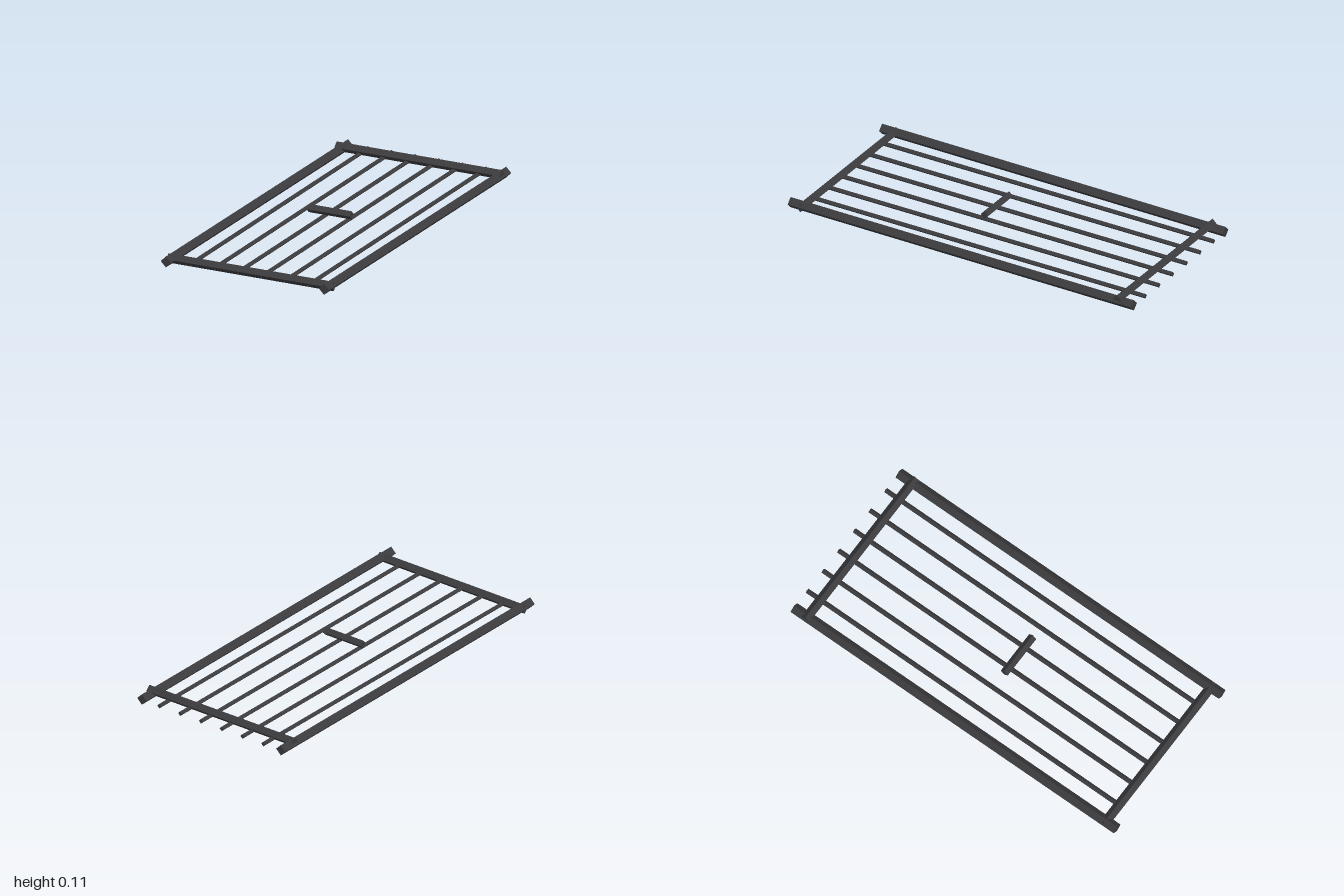
import * as THREE from 'three';

export function createModel() {
  const group = new THREE.Group();
  group.name = 'barredGate';
  const iron = new THREE.MeshStandardMaterial({ color: 0x3b3b3e });
  iron.name = 'dark iron';

  // Square bar standing on its edge between two points; r is half its diagonal
  function bar(name, from, to, r) {
    const a = new THREE.Vector3(...from);
    const b = new THREE.Vector3(...to);
    const side = r * Math.SQRT2;
    const geometry = new THREE.BoxGeometry(side, side, a.distanceTo(b));
    geometry.rotateZ(Math.PI / 4);
    const mesh = new THREE.Mesh(geometry, iron);
    mesh.name = name;
    mesh.position.copy(a).add(b).multiplyScalar(0.5);
    mesh.lookAt(b);
    group.add(mesh);
  }

  // Long side rails, slightly lower at the back
  bar('leftRail', [0.443, 0.029, -1], [0.443, 0.05, 1], 0.029);
  bar('rightRail', [-0.443, 0.029, -1], [-0.443, 0.05, 1], 0.029);

  // Crossbars
  bar('frontCrossbar', [-0.463, 0.046, 0.931], [0.463, 0.046, 0.931], 0.025);
  bar('backCrossbar', [-0.463, 0.046, -0.914], [0.463, 0.046, -0.914], 0.025);

  // Thin rods, running past the back crossbar
  for (let i = 0; i < 6; i++) {
    const x = (i - 2.5) * 0.1325;
    bar('rod' + (i + 1), [x, 0.028, -1], [x, 0.04, 0.945], 0.013);
  }

  // Short handle above the middle
  bar('handle', [-0.12, 0.089, 0.065], [0.12, 0.089, 0.065], 0.022);

  return group;
}
